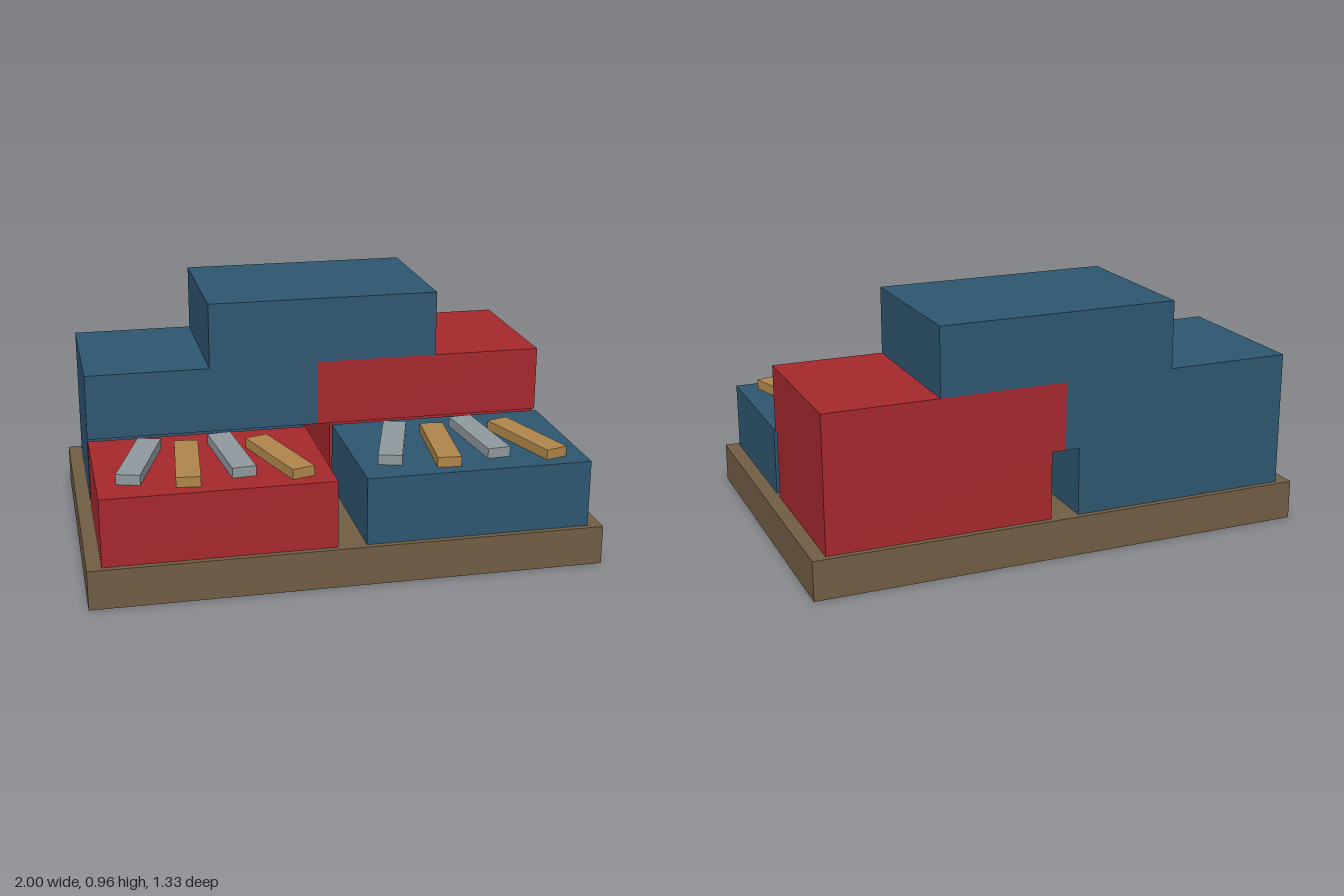
import * as THREE from 'three';

const mat = (color) => new THREE.MeshStandardMaterial({ color });

export function createModel() {
  const model = new THREE.Group();
  model.name = 'stackedBoxes';
  const brown = mat(0x705c44), red = mat(0xa5282d), blue = mat(0x2e5670);
  const silver = mat(0x8f989d), tan = mat(0xae8549);

  // Box given by its min and max along each axis
  function block(name, material, [x0, x1], [y0, y1], [z0, z1]) {
    const mesh = new THREE.Mesh(new THREE.BoxGeometry(x1 - x0, y1 - y0, z1 - z0), material);
    mesh.position.set((x0 + x1) / 2, (y0 + y1) / 2, (z0 + z1) / 2);
    mesh.name = name;
    model.add(mesh);
  }

  // Heights of the base and the three tiers
  const yBase = 0.156, y1 = 0.424, y2 = 0.691, y3 = 0.958;
  const right = [-0.944, -0.056], left = [0.056, 0.944];
  const front = [0.022, 0.644], back = [-0.644, -0.022], upper = [-0.644, 0];

  block('base', brown, [-1, 1], [0, yBase], [-0.667, 0.667]);

  // Bottom tier: four boxes with gaps between them
  block('frontRightBox', red, right, [yBase, y1], front);
  block('frontLeftBox', blue, left, [yBase, y1], front);
  block('backRightBox', blue, right, [yBase, y1], back);
  block('backLeftBox', red, left, [yBase, y1], back);

  // Middle tier and top box
  block('middleRightBox', blue, [-0.944, 0], [y1, y2], upper);
  block('middleLeftBox', red, [0, 0.944], [y1, y2], upper);
  block('topBox', blue, [-0.444, 0.5], [y2, y3], upper);

  // Fanned bars lying on the two front boxes
  const barGeometry = new THREE.BoxGeometry(0.093, 0.04, 0.396);
  for (const side of [-1, 1]) {
    const bars = new THREE.Group();
    bars.name = side < 0 ? 'rightBars' : 'leftBars';
    bars.position.set(side * 0.5, y1 + 0.02, 0);
    [-0.3, -0.1, 0.1, 0.3].forEach((angle, i) => {
      const bar = new THREE.Mesh(barGeometry, i % 2 ? tan : silver);
      bar.name = 'bar';
      bar.position.set(-0.267 + i * 0.178, 0, i % 2 ? 0.39 : 0.331);
      bar.rotation.y = angle;
      bars.add(bar);
    });
    model.add(bars);
  }
  return model;
}
